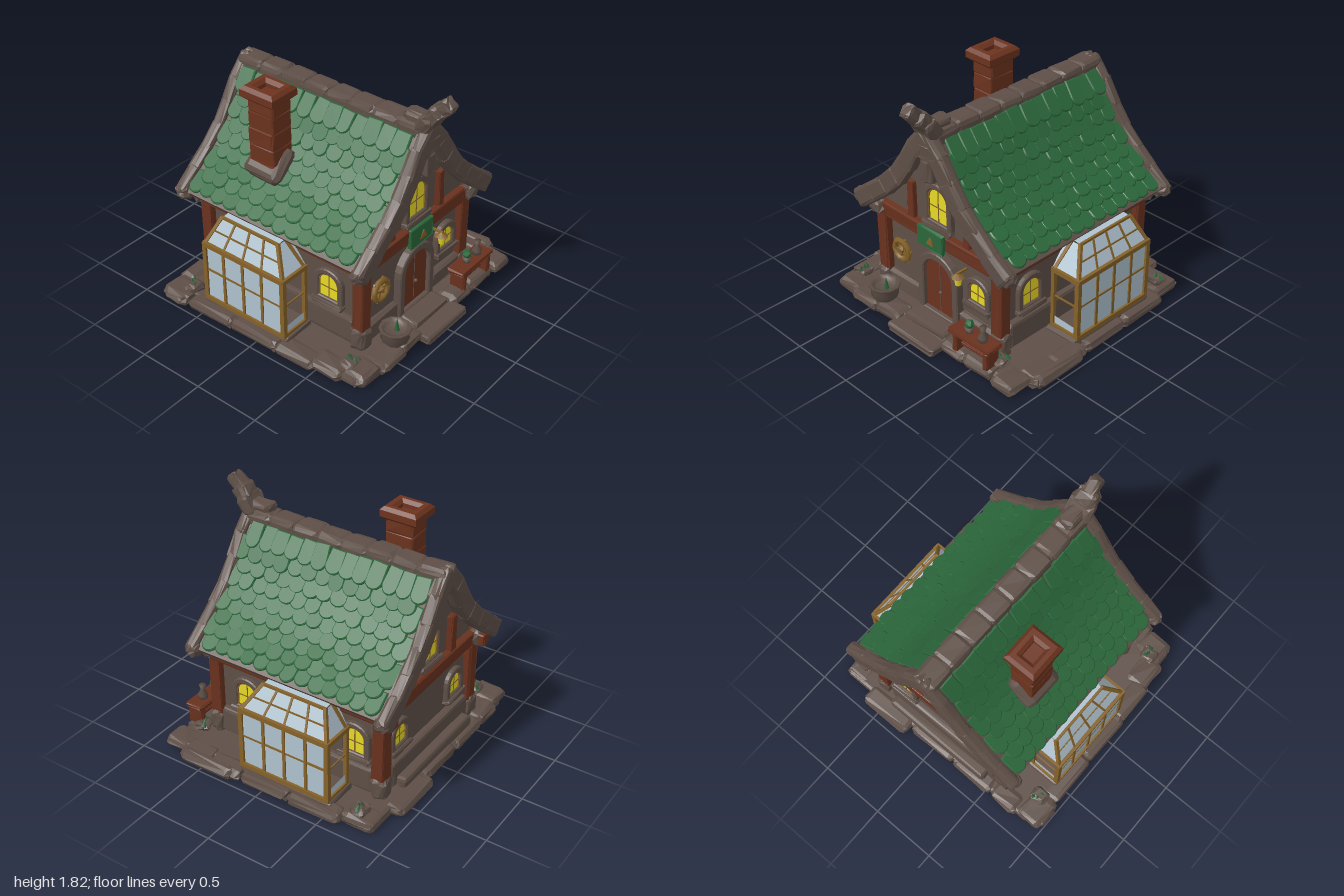
import * as THREE from 'three';
import { mergeGeometries } from 'three/addons/utils/BufferGeometryUtils.js';
import { RoundedBoxGeometry } from 'three/addons/geometries/RoundedBoxGeometry.js';

const material = (name, color, side = THREE.FrontSide) =>
  Object.assign(new THREE.MeshStandardMaterial({ color, side }), { name });
const M = {
  stone: material('stone', 0x5e4f47), wood: material('red wood', 0x69311e),
  brick: material('chimney brick', 0x6c331e), green: material('green tile', 0x2b673b),
  yellow: material('lit window', 0xe8da26), gold: material('gold timber', 0x85622a),
  glass: material('glass', 0xb0c3cf, THREE.DoubleSide),
};
let seed = 7;
const rand = () => (seed = (seed * 16807) % 2147483647) / 2147483647;
const vary = (a) => (rand() - 0.5) * 2 * a;
const V = (x, y, z) => new THREE.Vector3(x, y, z);

function add(parent, name, geo, mat, x = 0, y = 0, z = 0) {
  const m = new THREE.Mesh(geo, mat);
  m.name = name;
  m.position.set(x, y, z);
  parent.add(m);
  return m;
}

// Hand-hewn block: a rounded box with its corners pushed about, never below its own base
function chunk(w, h, d, rough = 0.01, round = 0.3) {
  const geo = new RoundedBoxGeometry(w, h, d, 1, Math.min(w, h, d) * round);
  const p = geo.attributes.position, k = rand() * 50;
  const hash = (x, y, z) => {
    const v = Math.sin(Math.round(x * 1e4) * 0.129 + Math.round(y * 1e4) * 0.782 + Math.round(z * 1e4) * 0.377 + k) * 437.5;
    return (v - Math.floor(v) - 0.5) * 2 * rough;
  };
  for (let i = 0; i < p.count; i++) {
    const x = p.getX(i), y = p.getY(i), z = p.getZ(i);
    p.setXYZ(i, x + hash(x, y, z), Math.max(-h / 2, y + hash(y, z, x)), z + hash(z, x, y));
  }
  geo.computeVertexNormals();
  return geo;
}
const block = (g, name, mat, w, h, d, x, y, z, rough, round) => add(g, name, chunk(w, h, d, rough, round), mat, x, y, z);

// Straight bar between two points
function bar(g, name, a, b, t, mat = M.gold) {
  const dir = b.clone().sub(a);
  const m = add(g, name, new THREE.BoxGeometry(t, dir.length() + t * 0.6, t), mat);
  m.position.copy(a).add(b).multiplyScalar(0.5);
  m.quaternion.setFromUnitVectors(V(0, 1, 0), dir.normalize());
}

const extrude = (shape, depth, bevel = 0) => new THREE.ExtrudeGeometry(shape, {
  depth, curveSegments: 6, bevelEnabled: bevel > 0, bevelSize: bevel, bevelThickness: bevel, bevelSegments: 1 });

function arch(w, h, rise, C = THREE.Shape, y0 = 0) {
  const s = new C();
  s.moveTo(-w / 2, y0); s.lineTo(w / 2, y0); s.lineTo(w / 2, h - rise);
  s.absellipse(0, h - rise, w / 2, rise, 0, Math.PI);
  s.closePath();
  return s;
}
function surround(w, h, rise, t, depth, bevel = 0.008) {
  const s = arch(w + 2 * t, h + t, rise + t, THREE.Shape, -t * 0.7);
  s.holes.push(arch(w, h, rise, THREE.Path));
  return extrude(s, depth, bevel);
}
function archedWindow(parent, name, w, h, x, y, z, turn) {
  const g = new THREE.Group();
  g.name = name;
  g.position.set(x, y, z);
  g.rotation.y = turn;
  add(g, 'windowSurround', surround(w + 0.016, h + 0.008, w * 0.45, 0.028, 0.032), M.stone);
  add(g, 'windowRim', surround(w - 0.01, h - 0.005, w * 0.45, 0.012, 0.03, 0), M.gold);
  add(g, 'litPane', extrude(arch(w, h, w * 0.45), 0.008), M.yellow, 0, 0, 0.012);
  add(g, 'uprightBar', new THREE.BoxGeometry(0.007, h, 0.007), M.gold, 0, h / 2, 0.02);
  add(g, 'crossBar', new THREE.BoxGeometry(w, 0.007, 0.007), M.gold, 0, h * 0.45, 0.02);
  block(g, 'windowSill', M.stone, w + 0.1, 0.045, 0.07, 0, -0.03, 0.025, 0.006);
  parent.add(g);
}

// Swept roof line from ridge to eave
const roofLine = new THREE.CatmullRomCurve3([[0.02, 1.56], [0.13, 1.44], [0.22, 1.29], [0.33, 1.14],
  [0.45, 1.02], [0.58, 0.915], [0.73, 0.8]].map(([x, y]) => V(x, y, 0)));
function roofAt(u, side, lift = 0) {
  const p = roofLine.getPointAt(u), t = roofLine.getTangentAt(u);
  const n = V(-t.y * side, t.x, 0);
  return { p: V(p.x * side, p.y, 0).addScaledVector(n, lift), n, up: V(-t.x * side, -t.y, 0) };
}
const offsetLine = (lift) => Array.from({ length: 13 }, (_, i) => roofAt(i / 12, 1, lift).p).filter((p) => p.x > 0.02);
const mirrored = (pts) => pts.map((p) => V(-p.x, p.y, 0)).reverse();

function buildRoof(g) {
  const out = offsetLine(0), inn = offsetLine(-0.05);
  const slab = new THREE.Shape([...mirrored(out), ...out, ...inn.slice().reverse(), V(0, 1.47, 0), ...mirrored(inn).reverse()]);
  add(g, 'roofSlab', extrude(slab, 1.52), M.stone, 0, 0, -0.82);

  // overlapping round-ended tiles, lower edges lifted
  const tile = new THREE.Shape();
  tile.moveTo(-0.05, 0.1); tile.lineTo(-0.056, -0.01);
  tile.absellipse(0, -0.01, 0.056, 0.055, Math.PI, Math.PI * 2);
  tile.lineTo(0.05, 0.1); tile.closePath();
  const tiles = [], rows = 9, cols = 13;
  for (const side of [1, -1]) for (let r = 0; r < rows; r++) for (let c = 0; c < cols; c++) {
    const { p, n, up } = roofAt(0.175 + 0.745 * r / (rows - 1), side, 0.01 + vary(0.004));
    const geo = extrude(tile, 0.01, 0.008);
    geo.rotateX(-0.11 + vary(0.04)).rotateZ(vary(0.08)).scale(1 + vary(0.08), 1 + vary(0.1), 1);
    const z = -0.705 + (c + (r % 2 ? 0.25 : -0.25)) * 0.1105;
    geo.applyMatrix4(new THREE.Matrix4().makeBasis(up.clone().cross(n), up, n).setPosition(p.x, p.y, z + vary(0.008)));
    tiles.push(geo);
  }
  add(g, 'roofTiles', mergeGeometries(tiles), M.green);

  // stone verges at both gables
  for (const z of [0.72, -0.835]) for (const side of [1, -1]) {
    for (let i = 0; i < 6; i++) {
      const a = roofAt(i / 6, side, -0.033).p, b = roofAt((i + 1) / 6, side, -0.033).p;
      const m = block(g, 'vergeStone', M.stone, a.distanceTo(b) + 0.06, 0.145, 0.09, (a.x + b.x) / 2, (a.y + b.y) / 2, z, 0.005);
      m.rotation.z = Math.atan2(b.y - a.y, b.x - a.x);
    }
    block(g, 'eaveKnob', M.stone, 0.1, 0.1, 0.1, side * 0.725, 0.785, z - Math.sign(z) * 0.01, 0.008, 0.4);
  }
  // ridge and horn
  for (let i = 0; i < 8; i++) {
    block(g, 'ridgeStone', M.stone, 0.18, 0.13, 0.225, 0, 1.515 + 0.008 * Math.abs(i - 3.5) / 3.5, -0.76 + i * 0.197, 0.005);
  }
  const horn = [[1.59, 0.65, 0.12, 0.22, 0], [1.6, 0.72, 0.19, 0.16, 0.5], [1.67, 0.775, 0.16, 0.14, 0.7], [1.735, 0.835, 0.1, 0.14, 0.8]];
  horn.forEach(([y, z, w, h, tilt]) => {
    block(g, 'ridgeHorn', M.stone, w, tilt ? h : 0.11, tilt ? 0.11 : h, 0, y, z, 0.008).rotation.x = tilt;
  });
  block(g, 'gablePendant', M.stone, 0.1, 0.19, 0.08, 0, 1.28, 0.71, 0.008);
  block(g, 'gablePendantTop', M.stone, 0.16, 0.14, 0.09, 0, 1.44, 0.72, 0.008);
}

function buildChimney(g) {
  const rect = (w, d, C) => new C([[-w, -d], [w, -d], [w, d], [-w, d]].map(([x, y]) => new THREE.Vector2(x / 2, y / 2)));
  const cap = rect(0.2, 0.24, THREE.Shape);
  cap.holes.push(rect(0.14, 0.17, THREE.Path));
  add(g, 'chimneyCap', extrude(cap, 0.05, 0.024).rotateX(-Math.PI / 2), M.brick, -0.42, 1.617, -0.275);
  for (let i = 0; i < 5; i++) block(g, 'chimneyShaft', M.brick, 0.19, 0.14, 0.22, -0.415, 1.07 + i * 0.125, -0.275, 0.004, 0.12);
  block(g, 'chimneyCollar', M.stone, 0.27, 0.15, 0.3, -0.42, 1.1, -0.275, 0.008).rotation.z = 0.75;
}

// Glazed bay on one side: posts, panes and a hipped glass top
function buildBay(parent, s) {
  const g = new THREE.Group();
  g.name = 'glassBay';
  parent.add(g);
  const P = (x, y, z) => V(s * x, y, z);
  const pane = (a, b, c, d) => {
    const geo = new THREE.BufferGeometry().setFromPoints([a, b, c, a, c, d]);
    geo.computeVertexNormals();
    add(g, 'glassPane', geo, M.glass);
  };
  const low = [0.2, 0.015, -0.155, -0.33, -0.5], high = [0.08, -0.04, -0.165, -0.295, -0.42], topX = 0.765;
  block(g, 'baySill', M.stone, 0.28, 0.08, 0.76, s * 0.74, 0.07, -0.15, 0.008);
  low.forEach((z, i) => {
    const t = i % 4 ? 0.022 : 0.034;
    bar(g, 'bayPost', P(0.865, 0.11, z), P(0.865, 0.57, z), t);
    bar(g, 'bayRafter', P(0.865, 0.57, z), P(topX, 0.765, high[i]), t * 0.7);
    if (i < 4) {
      const z1 = low[i + 1];
      for (const [y0, y1] of [[0.11, 0.36], [0.36, 0.57]]) {
        const x = 0.867 + vary(0.005);
        pane(P(x, y0, z), P(x, y0, z1), P(0.867, y1, z1), P(0.867, y1, z));
      }
      pane(P(0.865, 0.575, z), P(0.865, 0.575, z1), P(topX, 0.765, high[i + 1]), P(topX, 0.765, high[i]));
      pane(P(topX, 0.765, high[i]), P(topX, 0.765, high[i + 1]), P(0.6, 0.785, high[i + 1]), P(0.6, 0.785, high[i]));
    }
  });
  for (const [y, t] of [[0.115, 0.034], [0.36, 0.014], [0.57, 0.034]]) bar(g, 'bayRail', P(0.867, y, 0.2), P(0.867, y, -0.5), t);
  bar(g, 'bayRoofBar', P(0.815, 0.67, 0.14), P(0.815, 0.67, -0.46), 0.01);
  bar(g, 'bayTopRail', P(topX, 0.765, 0.08), P(topX, 0.765, -0.42), 0.018);
  [[0.2, 0.08], [-0.5, -0.42]].forEach(([z, zt]) => {
    bar(g, 'bayWallPost', P(0.645, 0.11, z), P(0.645, 0.57, z), 0.028);
    for (const [y, t] of [[0.115, 0.03], [0.36, 0.01], [0.57, 0.034]]) bar(g, 'bayEndRail', P(0.64, y, z), P(0.865, y, z), t);
    pane(P(0.65, 0.11, z), P(0.86, 0.11, z), P(0.86, 0.18, z), P(0.65, 0.19, z));
    pane(P(0.63, 0.58, z), P(0.86, 0.58, z), P(topX, 0.76, zt), P(0.64, 0.76, zt));
    bar(g, 'bayWallRafter', P(0.65, 0.57, z), P(0.69, 0.76, zt), 0.024);
  });
}

function buildWalls(g) {
  const line = offsetLine(-0.06).filter((p) => p.x < 0.57);
  const wall = new THREE.Shape([V(-0.57, 0.05, 0), V(0.57, 0.05, 0), V(0.57, 0.84, 0), ...line.slice().reverse(),
    V(0, 1.44, 0), ...mirrored(line).reverse(), V(-0.57, 0.84, 0)]);
  add(g, 'walls', extrude(wall, 1.34), M.stone, 0, 0, -0.72);

  for (const s of [1, -1]) {
    for (const z of [0.63, -0.73]) {
      block(g, 'cornerPost', M.wood, 0.1, 0.57, 0.095, s * 0.57, 0.49, z, 0.006, 0.15);
      block(g, 'postFoot', M.stone, 0.13, 0.17, 0.12, s * 0.575, 0.15, z, 0.01);
      block(g, 'postCorbel', M.stone, 0.12, 0.12, 0.1, s * 0.6, 0.735, z + Math.sign(z) * 0.04, 0.01, 0.4);
      block(g, 'gableUpright', M.wood, 0.065, 0.29, 0.06, s * 0.275, 0.91, z - 0.005, 0.006, 0.15);
    }
    block(g, 'sideBeam', M.wood, 0.08, 0.09, 1.53, s * 0.6, 0.725, -0.085, 0.006, 0.15);
    block(g, 'sidePlinth', M.stone, 0.07, 0.2, 1.26, s * 0.58, 0.18, -0.05, 0.006);
    block(g, 'frontPlinth', M.stone, 0.34, 0.14, 0.07, s * 0.37, 0.15, 0.63, 0.008);
    archedWindow(g, 'sideWindowFront', 0.16, 0.2, s * 0.565, 0.35, 0.365, s * Math.PI / 2);
    archedWindow(g, 'sideWindowBack', 0.16, 0.2, s * 0.565, 0.35, -0.53, s * Math.PI / 2);
    archedWindow(g, 'backWindow', 0.14, 0.16, s * 0.36, 0.37, -0.715, Math.PI);
  }
  for (const z of [0.635, -0.735]) block(g, 'crossBeam', M.wood, 1.12, 0.11, 0.08, 0, 0.725, z, 0.006, 0.15);
  block(g, 'backPlinth', M.stone, 1.0, 0.2, 0.08, 0, 0.18, -0.74, 0.006);
  block(g, 'backLedge', M.stone, 0.9, 0.08, 0.1, 0, 0.12, -0.8, 0.006);
  archedWindow(g, 'gableWindowFront', 0.18, 0.26, 0, 0.84, 0.62, 0);
  archedWindow(g, 'gableWindowBack', 0.16, 0.24, 0, 0.85, -0.715, Math.PI);
  archedWindow(g, 'frontWindow', 0.15, 0.16, 0.37, 0.37, 0.62, 0);

  // door
  add(g, 'doorSurround', surround(0.3, 0.45, 0.14, 0.04, 0.05), M.stone, 0, 0.1, 0.62);
  add(g, 'door', extrude(arch(0.3, 0.45, 0.14), 0.025), M.wood, 0, 0.1, 0.62);
  add(g, 'doorSeam', new THREE.BoxGeometry(0.006, 0.43, 0.004), M.stone, 0, 0.32, 0.646);
  add(g, 'doorKnob', new THREE.SphereGeometry(0.014, 8, 6), M.stone, 0.01, 0.28, 0.655);

  // hanging sign
  block(g, 'signBoard', M.green, 0.25, 0.15, 0.025, -0.02, 0.725, 0.7, 0.006, 0.2);
  add(g, 'signBadge', new THREE.CylinderGeometry(0.042, 0.042, 0.008, 3).rotateX(Math.PI / 2).rotateZ(Math.PI), M.gold, -0.01, 0.715, 0.718);
}

function buildBase(g) {
  add(g, 'baseSlab', chunk(1.76, 0.07, 1.68, 0.006), M.stone, 0, 0.035, -0.02);
  // edging stones: x, z, width, depth
  const stones = [[-0.88, -0.74, 0.2, 0.24], [0.8, -0.74, 0.19, 0.24], [0.44, -0.87, 0.42, 0.16], [0.02, -0.82, 0.4, 0.14],
    [-0.36, -0.82, 0.36, 0.14], [-0.66, -0.81, 0.24, 0.16], [-0.89, -0.42, 0.15, 0.42], [-0.89, -0.02, 0.14, 0.42], [-0.87, 0.33, 0.16, 0.34],
    [-0.83, 0.58, 0.17, 0.26], [-0.76, 0.78, 0.22, 0.2], [-0.54, 0.81, 0.26, 0.2], [-0.32, 0.8, 0.24, 0.18], [0.32, 0.78, 0.24, 0.16],
    [0.56, 0.77, 0.28, 0.18], [0.81, 0.77, 0.2, 0.22], [0.88, 0.57, 0.19, 0.26], [0.88, 0.32, 0.16, 0.28], [0.88, -0.02, 0.14, 0.4],
    [0.88, -0.42, 0.14, 0.42], [0.94, 0.46, 0.1, 0.44], [-0.95, -0.74, 0.09, 0.18]];
  stones.forEach(([x, z, w, d]) => {
    const h = 0.075 + rand() * 0.02;
    block(g, 'edgingStone', M.stone, w, h, d, x, h / 2, z, 0.008, 0.45);
  });
  block(g, 'doorStepLow', M.stone, 0.46, 0.06, 0.2, 0, 0.03, 0.85, 0.006);
  block(g, 'doorStepHigh', M.stone, 0.4, 0.1, 0.16, 0, 0.05, 0.74, 0.008);
  for (const [x, z] of [[-0.84, -0.66], [0.8, -0.72], [-0.78, 0.7], [0.66, 0.72]]) {
    block(g, 'looseStone', M.stone, 0.12, 0.06, 0.11, x, 0.1, z, 0.01, 0.45);
    for (let i = 0; i < 3; i++) {
      add(g, 'grassTuft', new THREE.ConeGeometry(0.022, 0.05, 4), M.green, x + vary(0.04), 0.135, z + vary(0.04)).rotation.z = vary(0.8);
    }
  }
}

function buildProps(g) {
  // bench with jug and plant
  block(g, 'benchSeat', M.wood, 0.39, 0.035, 0.14, 0.49, 0.235, 0.79, 0.005);
  for (const x of [0.35, 0.64]) block(g, 'benchLeg', M.wood, 0.045, 0.15, 0.12, x, 0.15, 0.79, 0.005);
  block(g, 'benchStretcher', M.wood, 0.28, 0.03, 0.03, 0.49, 0.13, 0.79, 0.004);
  const lathe = (pts) => new THREE.LatheGeometry(pts.map(([x, y]) => new THREE.Vector2(x, y)), 10);
  add(g, 'jug', lathe([[0, 0], [0.032, 0], [0.036, 0.035], [0.016, 0.075], [0.026, 0.115], [0, 0.11]]), M.stone, 0.57, 0.25, 0.79);
  add(g, 'plantPot', lathe([[0, 0], [0.025, 0], [0.035, 0.045], [0, 0.045]]), M.stone, 0.44, 0.25, 0.79);
  add(g, 'plantLeaves', new THREE.IcosahedronGeometry(0.035, 0), M.green, 0.44, 0.32, 0.79);
  // cauldron
  add(g, 'cauldron', lathe([[0, 0], [0.06, 0.005], [0.1, 0.05], [0.095, 0.1], [0.115, 0.125], [0.11, 0.14], [0.08, 0.13], [0.07, 0.1], [0, 0.1]]),
    M.stone, -0.42, 0.08, 0.8);
  add(g, 'cauldronSprout', new THREE.ConeGeometry(0.02, 0.1, 5), M.green, -0.4, 0.23, 0.8);
  // wreath
  add(g, 'wreath', new THREE.TorusGeometry(0.075, 0.022, 5, 10), M.gold, -0.39, 0.44, 0.65);
  add(g, 'wreathHub', new THREE.IcosahedronGeometry(0.03, 0), M.gold, -0.39, 0.45, 0.65);
  for (let i = 0; i < 3; i++) {
    const m = add(g, 'wreathSpoke', new THREE.BoxGeometry(0.2, 0.016, 0.016), M.gold, -0.39, 0.44, 0.645);
    m.rotation.z = i * Math.PI / 3 + 0.2;
  }
  // lantern
  add(g, 'lanternLight', new THREE.CylinderGeometry(0.03, 0.022, 0.06, 6), M.yellow, 0.24, 0.52, 0.7);
  add(g, 'lanternCap', new THREE.ConeGeometry(0.048, 0.04, 6), M.gold, 0.24, 0.57, 0.7);
  add(g, 'lanternArm', new THREE.BoxGeometry(0.015, 0.015, 0.1), M.gold, 0.24, 0.58, 0.66);
}

export function createModel() {
  const model = new THREE.Group();
  model.name = 'cottage';
  const parts = { base: buildBase, walls: buildWalls, roof: buildRoof, chimney: buildChimney, props: buildProps };
  for (const [name, build] of Object.entries(parts)) {
    const g = new THREE.Group();
    g.name = name;
    build(g);
    model.add(g);
  }
  for (const s of [1, -1]) buildBay(model, s);
  return model;
}
